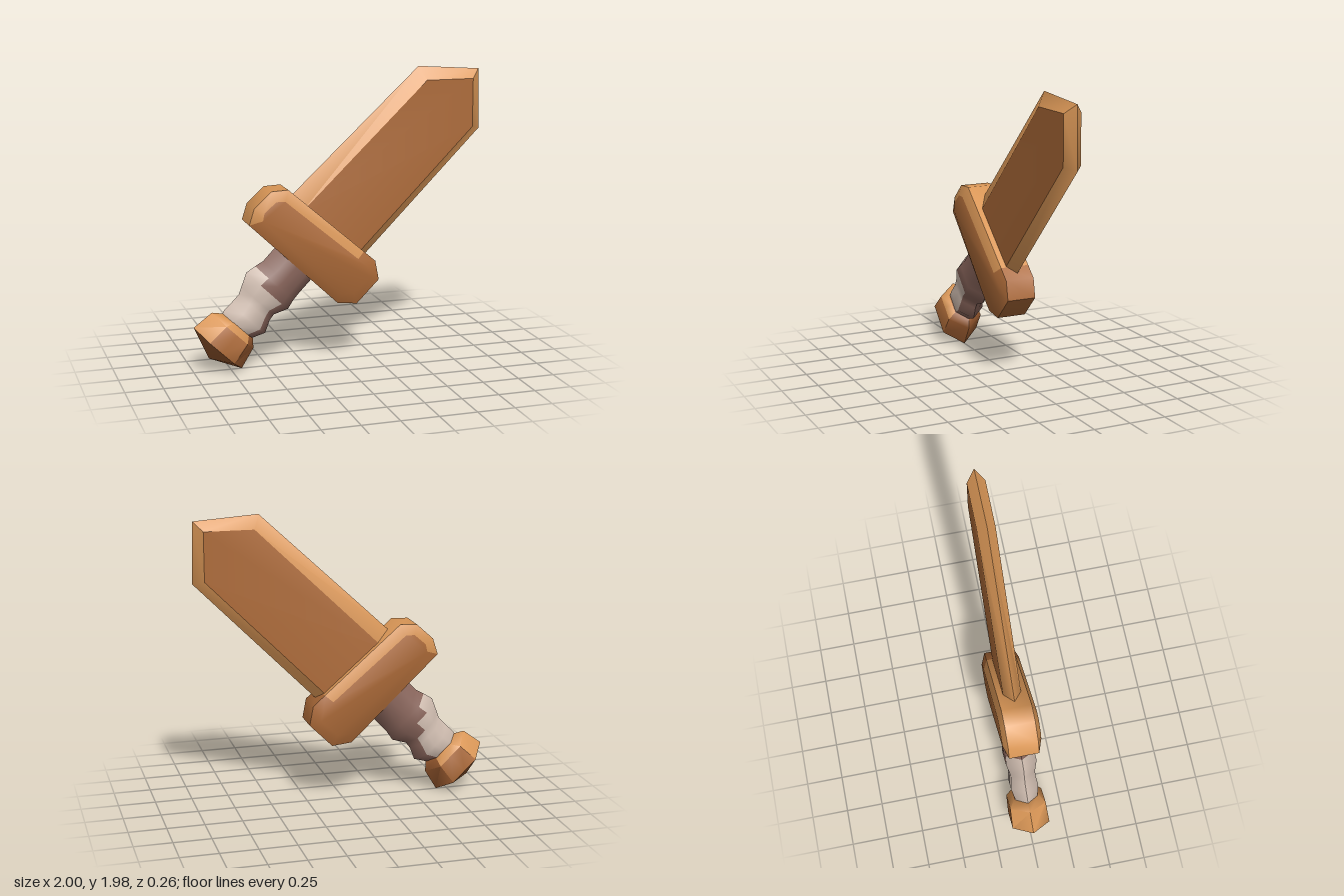
import * as THREE from 'three';
import { toCreasedNormals } from 'three/addons/utils/BufferGeometryUtils.js';

const mat = (name, color) => {
  const m = new THREE.MeshStandardMaterial({ color });
  m.name = name;
  return m;
};

// Joins convex rings into a solid, smooth below the crease angle; paint(ring, side)
// picks a material, ring -1 being the first cap and rings.length - 1 the last cap.
function loft(name, rings, crease, materials, paint) {
  const buckets = materials.map(() => []);
  const tri = (k, ...pts) => pts.forEach((p) => buckets[k].push(p.x, p.y, p.z));
  const n = rings[0].length;
  const last = rings.length - 1;
  for (let i = 0; i < last; i++) {
    for (let j = 0; j < n; j++) {
      const a = rings[i][j], b = rings[i][(j + 1) % n];
      const c = rings[i + 1][(j + 1) % n], d = rings[i + 1][j];
      tri(paint(i, j), a, b, c);
      tri(paint(i, j), a, c, d);
    }
  }
  for (let j = 1; j < n - 1; j++) {
    tri(paint(-1, j), rings[0][0], rings[0][j + 1], rings[0][j]);
    tri(paint(last, j), rings[last][0], rings[last][j], rings[last][j + 1]);
  }
  const geo = new THREE.BufferGeometry();
  let start = 0;
  buckets.forEach((b, k) => {
    geo.addGroup(start, b.length / 3, k);
    start += b.length / 3;
  });
  geo.setAttribute('position', new THREE.Float32BufferAttribute(buckets.flat(), 3));
  const mesh = new THREE.Mesh(toCreasedNormals(geo, crease), materials);
  mesh.name = name;
  return mesh;
}

// Outline placed at depth z
const flat = (pts, z) => pts.map(([x, y]) => new THREE.Vector3(x, y, z));

// Flattened hexagon across the grip axis, its front and back sides split in two:
// distance along, upper and lower reach, half depth
const origin = new THREE.Vector3(-0.835, 0.16, 0);
const along = new THREE.Vector3(0.695, 0.719, 0);
const across = new THREE.Vector3(-0.719, 0.695, 0);
const hexagon = [[1, 0], [0.5, 1], [0, 1], [-0.5, 1], [-1, 0], [-0.5, -1], [0, -1], [0.5, -1]];
function hexRing([s, up, down, depth]) {
  return hexagon.map(([h, d]) => {
    const v = (up - down) / 2 + ((up + down) / 2) * h;
    const p = origin.clone().addScaledVector(along, s).addScaledVector(across, v);
    p.z = depth * d;
    return p;
  });
}

export function createModel() {
  const group = new THREE.Group();
  group.name = 'woodenSword';
  const wood = [mat('dark wood', 0xac6a38), mat('worn light wood', 0xd99656)];
  const deepWood = mat('deep wood', 0x96582e);
  const wrap = [mat('brown wrap', 0x88645a), mat('pale wrap', 0xd2bfb2)];

  // Blade: dark faces with light bevels meeting in a sharp edge
  const bladeEdge = [[-0.33, 1.155], [0.15, 0.69], [1, 1.55], [0.99, 1.955], [0.56, 1.985]];
  const bladeFace = [[-0.27, 1.055], [0.09, 0.72], [0.93, 1.57], [0.93, 1.895], [0.6, 1.895]];
  group.add(loft('blade',
    [flat(bladeFace, -0.06), flat(bladeEdge, 0), flat(bladeFace, 0.06)],
    0.56, wood, (i) => (i === 0 || i === 1 ? 1 : 0)));

  // Crossguard: bevelled block, worn on the blade side and upper end
  const guardEdge = [[-0.635, 1], [-0.035, 0.43], [0.1, 0.415], [0.255, 0.57],
    [0.23, 0.7], [0.15, 0.77], [-0.37, 1.22], [-0.485, 1.215], [-0.6, 1.11]];
  const guardFace = [[-0.55, 1.03], [-0.03, 0.5], [0.07, 0.495], [0.185, 0.6],
    [0.17, 0.67], [0.1, 0.729], [-0.4, 1.15], [-0.46, 1.15], [-0.54, 1.08]];
  group.add(loft('crossguard',
    [flat(guardFace, -0.13), flat(guardEdge, -0.1), flat(guardEdge, 0.1), flat(guardFace, 0.13)],
    0.93, wood, (i, j) => (i >= 0 && i < 3 && j >= 5 ? 1 : 0)));

  // Grip: lumpy wrapped handle, pale on the lower half except underneath
  const grip = [[0.17, 0.13, 0.12, 0.07], [0.21, 0.145, 0.14, 0.08], [0.28, 0.142, 0.18, 0.095],
    [0.36, 0.142, 0.145, 0.085], [0.41, 0.165, 0.138, 0.085], [0.5, 0.205, 0.188, 0.105],
    [0.57, 0.188, 0.175, 0.1], [0.63, 0.17, 0.172, 0.095], [0.85, 0.172, 0.172, 0.095]];
  const gripPale = [6, 5, 5, 0, 0, 4, 5, 6];
  group.add(loft('grip', grip.map(hexRing), 1.1, wrap, (i, j) => (i < gripPale[j] ? 1 : 0)));

  // Pommel: flattened hexagonal knob, worn on top and at the shoulder, deep below and at the point
  const pommel = [[-0.09, 0.001, 0.001, 0.001], [0, 0.223, 0.223, 0.13],
    [0.153, 0.198, 0.188, 0.125], [0.2, 0.13, 0.14, 0.085]];
  group.add(loft('pommel', pommel.map(hexRing), 0.9, [...wood, deepWood], (i, j) => {
    if (i < 1 || j === 3 || j === 4) return 2;
    return j === 0 || j === 7 || i === 2 ? 1 : 0;
  }));

  return group;
}
